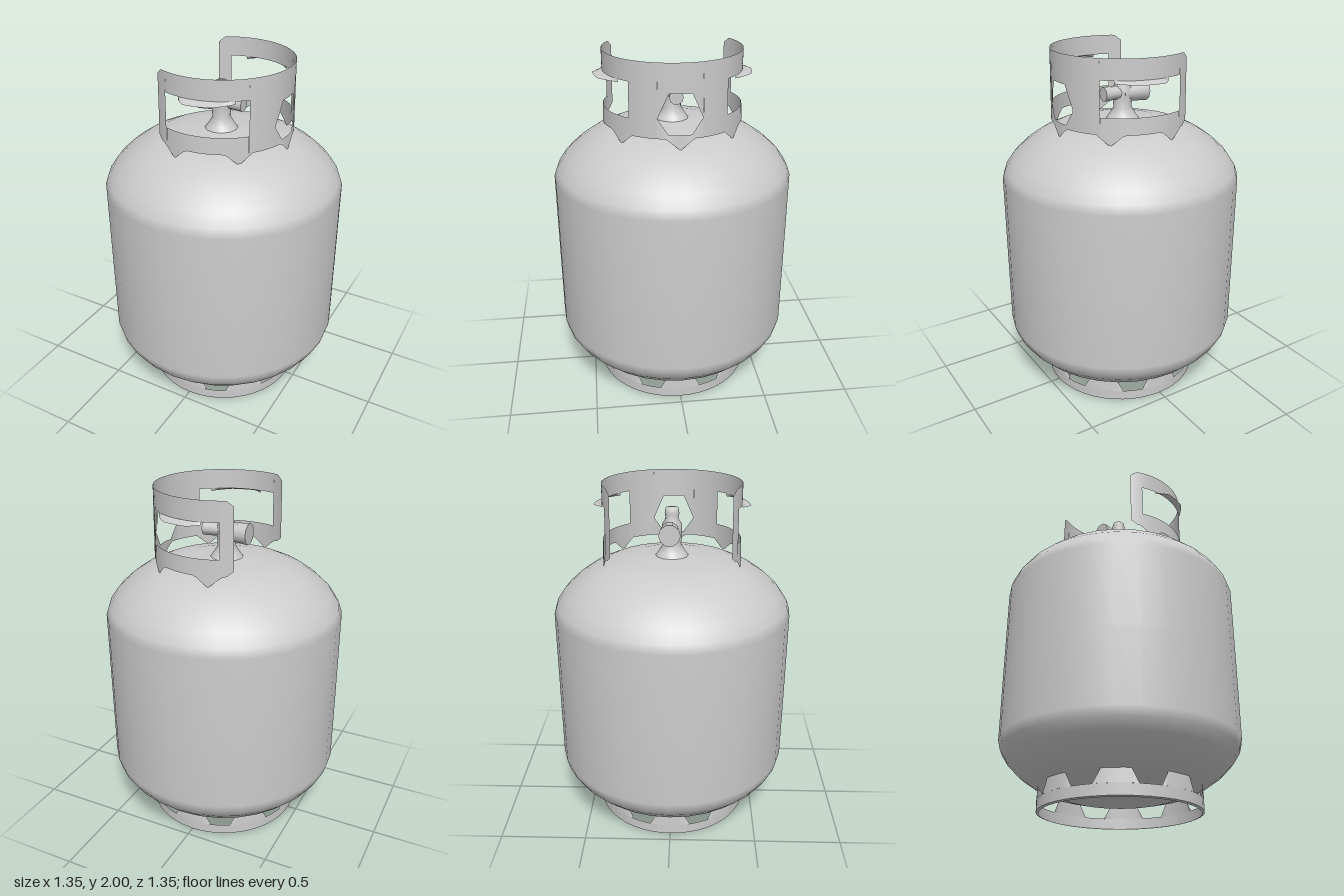
import * as THREE from 'three';

const metal = new THREE.MeshStandardMaterial({ color: 0xcccccc });
const sheet = new THREE.MeshStandardMaterial({ color: 0xcccccc, side: THREE.DoubleSide });

function add(parent, name, geometry, material = metal) {
  const mesh = new THREE.Mesh(geometry, material);
  mesh.name = name;
  parent.add(mesh);
  return mesh;
}

// Curved sheet between two edges; each edge maps an angle in degrees to [radius, y].
function band(a0, a1, lower, upper, step = 5) {
  const n = Math.max(1, Math.round((a1 - a0) / step));
  const pos = [], index = [];
  for (let i = 0; i <= n; i++) {
    const a = a0 + ((a1 - a0) * i) / n;
    const t = THREE.MathUtils.degToRad(a);
    for (const [r, y] of [lower(a), upper(a)]) pos.push(r * Math.cos(t), y, r * Math.sin(t));
    if (i < n) {
      const k = i * 2;
      index.push(k, k + 1, k + 2, k + 1, k + 3, k + 2);
    }
  }
  const g = new THREE.BufferGeometry();
  g.setAttribute('position', new THREE.Float32BufferAttribute(pos, 3));
  g.setIndex(index);
  g.computeVertexNormals();
  return g;
}

function lathe(points, segments) {
  return new THREE.LatheGeometry(points.map(([r, y]) => new THREE.Vector2(r, y)), segments);
}

function makeCollar() {
  const collar = new THREE.Group();
  collar.name = 'collar';
  const R = 0.38, END = 123, HOLE = 18;
  const at = (y, r = R) => () => [r, y];
  // Lower edge dips to the shoulder at the welded feet; corners are clipped at the ends
  const foot = (a) => Math.max(0, 1 - Math.min(Math.abs(a), Math.abs(Math.abs(a) - 50), Math.abs(Math.abs(a) - 103)) / 11);
  const low = (a) => [R + 0.005, 1.605 - 0.06 * foot(a) + 0.03 * Math.max(0, (Math.abs(a) - 117) / 6)];
  const top = (a) => [R, 1.995 - 0.03 * Math.max(0, (Math.abs(a) - 117) / 6)];
  // Six-sided opening behind the valve
  const slope = (a) => Math.max(0, (Math.abs(a) - 9) / (HOLE - 9));
  add(collar, 'lowerBridge', band(-HOLE, HOLE, low, (a) => [R, 1.625 + 0.085 * slope(a)], 3), sheet);
  add(collar, 'upperBridge', band(-HOLE, HOLE, (a) => [R, 1.84 - 0.13 * slope(a)], top, 3), sheet);
  // Posts, rails and hand grip either side
  for (const s of [-1, 1]) {
    const side = (name, a, b, lo, hi) =>
      add(collar, name, band(Math.min(s * a, s * b), Math.max(s * a, s * b), lo, hi, 3), sheet);
    side('innerPost', HOLE, 42, low, top);
    side('lowerRail', 42, 112, low, at(1.695));
    side('upperRail', 42, 112, at(1.885), top);
    side('endPost', 112, END, low, top);
    const flare = (a) => 0.05 * Math.min(1, (Math.abs(a) - 53) / 18, (98 - Math.abs(a)) / 8);
    side('gripLip', 53, 98, at(1.885), (a) => [R + flare(a), 1.87]);
  }
  return collar;
}

function makeFoot() {
  const foot = new THREE.Group();
  foot.name = 'footRing';
  const ring = (name, r0, y0, r1, y1) =>
    add(foot, name, band(0, 360, () => [r0, y0], () => [r1, y1], 7.5), sheet);
  ring('hoop', 0.45, 0.005, 0.45, 0.065);
  ring('bottomRim', 0.435, 0, 0.45, 0.005);
  // Tapered legs leave slots under the body
  for (let i = 0; i < 8; i++) {
    const c = i * 45;
    add(foot, 'footLeg', band(c - 15, c + 15,
      () => [0.45, 0.065],
      (a) => [0.445, 0.065 + 0.09 * Math.min(1, (15 - Math.abs(a - c)) / 6)], 3), sheet);
  }
  return foot;
}

function makeValve() {
  const valve = new THREE.Group();
  valve.name = 'valve';
  add(valve, 'stem', lathe([[0.11, 1.57], [0.075, 1.62], [0.05, 1.66], [0.055, 1.72],
    [0.055, 1.77], [0.035, 1.8], [0.04, 1.83], [0.035, 1.86], [0, 1.865]], 12)).position.x = -0.015;
  const pipe = (name, r0, r1, x0, x1, y) => {
    const m = add(valve, name, new THREE.CylinderGeometry(r1, r0, x1 - x0, 10));
    m.rotation.z = -Math.PI / 2;
    m.position.set((x0 + x1) / 2, y, -0.01);
  };
  pipe('outlet', 0.06, 0.045, -0.155, 0, 1.74);
  pipe('rearFitting', 0.035, 0.04, 0, 0.115, 1.745);
  return valve;
}

export function createModel() {
  const model = new THREE.Group();
  model.name = 'gasCylinder';
  // Pressure vessel with domed ends
  add(model, 'body', lathe([[0, 0.085], [0.3, 0.095], [0.4, 0.12], [0.48, 0.155], [0.56, 0.21], [0.625, 0.275],
    [0.66, 0.33], [0.673, 0.38], [0.673, 0.8], [0.672, 1.28], [0.655, 1.33], [0.61, 1.395], [0.54, 1.46],
    [0.46, 1.515], [0.36, 1.56], [0.22, 1.59], [0, 1.6]], 32));
  model.add(makeFoot(), makeCollar(), makeValve());
  return model;
}
